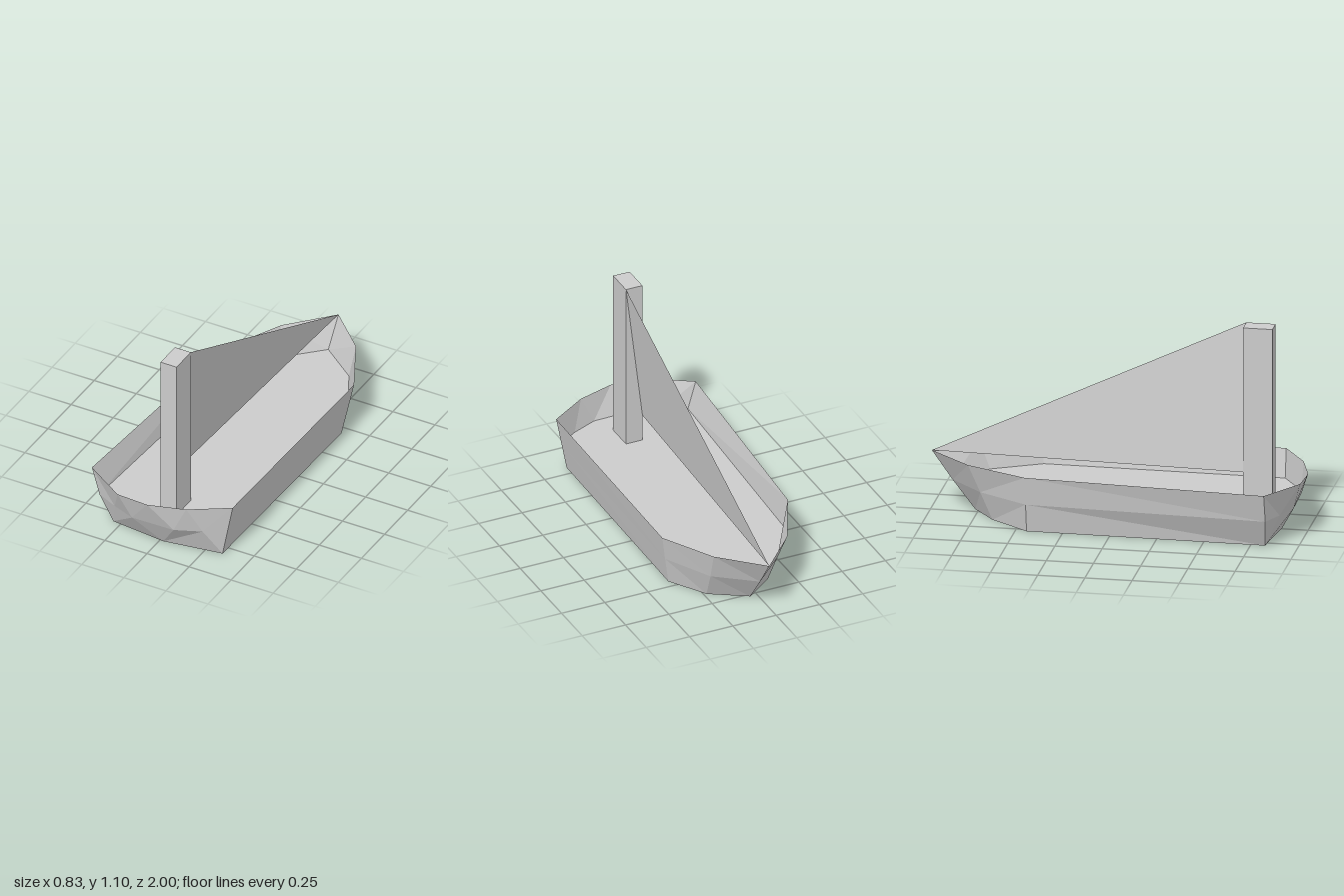
import * as THREE from 'three';

const material = new THREE.MeshStandardMaterial({ color: 0xcccccc, flatShading: true, side: THREE.DoubleSide });

// Mesh from a flat list of corner points, three per triangle
function facets(name, points) {
  const geometry = new THREE.BufferGeometry().setFromPoints(points);
  geometry.computeVertexNormals();
  const mesh = new THREE.Mesh(geometry, material);
  mesh.name = name;
  return mesh;
}

// Row of points [x, z] at one height
const row = (y, list) => list.map(([x, z]) => new THREE.Vector3(x, y, z));

// Zip two rows of unequal length, always taking the shorter diagonal
function zip(lower, upper) {
  const out = [];
  let i = 0, j = 0;
  while (i < lower.length - 1 || j < upper.length - 1) {
    const stepLow = i < lower.length - 1 ? lower[i + 1].distanceTo(upper[j]) : Infinity;
    const stepUp = j < upper.length - 1 ? lower[i].distanceTo(upper[j + 1]) : Infinity;
    if (stepLow <= stepUp) out.push(lower[i], lower[++i], upper[j]);
    else out.push(lower[i], upper[j + 1], upper[j++]);
  }
  return out;
}

// Fill a convex outline with a fan
function fan(outline, flip = false) {
  const out = [];
  for (let i = 1; i < outline.length - 1; i++) {
    const [a, b] = flip ? [i + 1, i] : [i, i + 1];
    out.push(outline[0], outline[a], outline[b]);
  }
  return out;
}

export function createModel() {
  const group = new THREE.Group();
  group.name = 'sailboat';
  const RIM = 0.31, DECK = 0.155;

  // Rounded end, from -x to +x
  const endRim = row(RIM, [[-0.415, 0.84], [-0.18, 0.99], [0, 1], [0.2, 0.94], [0.405, 0.81]]);
  const endMid = row(DECK, [[-0.37, 0.84], [-0.25, 0.895], [-0.12, 0.945], [0.125, 0.94], [0.265, 0.88], [0.375, 0.81]]);
  const endKeel = row(0, [[-0.295, 0.825], [0.02, 0.86], [0.345, 0.81]]);

  // Sides and pointed end, from the +x corner round to the -x corner
  const tipRim = row(RIM, [[0.413, -0.49], [0.26, -0.79], [0.04, -1], [-0.175, -0.77], [-0.335, -0.44]]);
  const tipMid = row(DECK, [[0.388, -0.47], [0.25, -0.73], [0.04, -0.89], [-0.145, -0.71], [-0.31, -0.44]]);
  const tipKeel = row(0, [[0.36, -0.45], [0.235, -0.65], [0.04, -0.77], [-0.12, -0.65], [-0.28, -0.44]]);
  tipRim[0].y = 0.3;
  const sides = (end, tip) => [end[end.length - 1], ...tip, end[0]];
  const rim = sides(endRim, tipRim), mid = sides(endMid, tipMid), keel = sides(endKeel, tipKeel);

  // Hull: thin open shell with a closed bottom
  group.add(facets('hull', [
    ...zip(endKeel, endMid), ...zip(endMid, endRim),
    ...zip(keel, mid), ...zip(mid, rim),
    ...fan([...endKeel, ...tipKeel], true),
  ]));

  // Deck halfway up the hull
  group.add(facets('deck', fan([...endMid, ...tipMid])));

  // Square mast standing on the deck
  const top = 1.095;
  const mast = new THREE.Mesh(new THREE.BoxGeometry(0.095, top - DECK, 0.155), material);
  mast.name = 'mast';
  mast.position.set(0.0265, (top + DECK) / 2, 0.737);
  group.add(mast);

  // Twisted triangular sail between opposite mast edges and the tip
  group.add(facets('sail', [
    new THREE.Vector3(0.074, top, 0.659),
    new THREE.Vector3(-0.021, 0.305, 0.659),
    new THREE.Vector3(0.04, RIM, -1),
  ]));

  return group;
}
